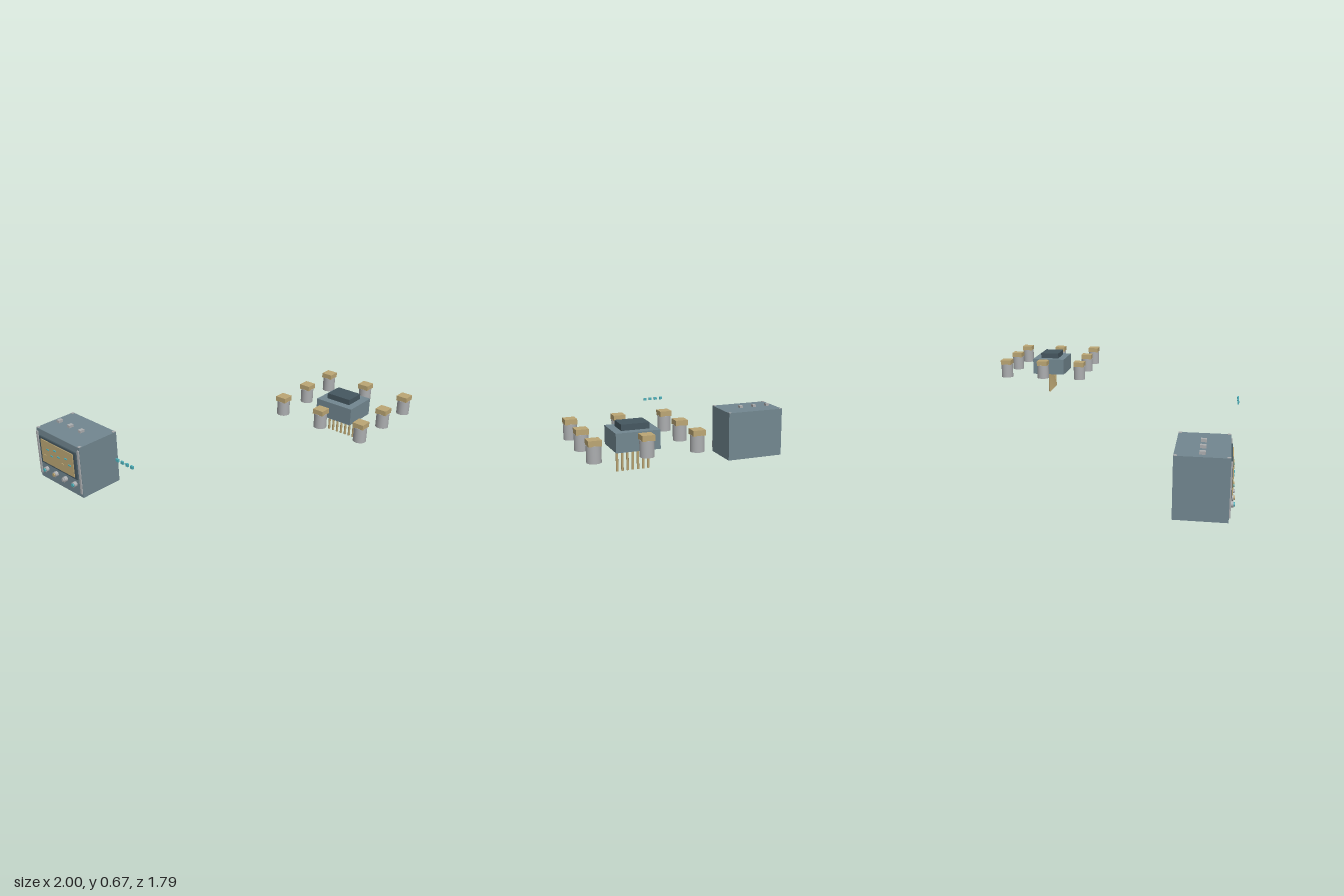
import * as THREE from 'three';

const mat = (name, color) => {
  const m = new THREE.MeshStandardMaterial({ color });
  m.name = name;
  return m;
};

export function createModel() {
  const slate = mat('slate', 0x728790);
  const dark = mat('dark slate', 0x455760);
  const amber = mat('amber', 0xbba674);
  const silver = mat('silver', 0xacaeb0);
  const cyan = mat('cyan', 0x4fb0ba);

  const model = new THREE.Group();
  model.name = 'instrumentKit';
  const group = (name) => {
    const g = new THREE.Group();
    g.name = name;
    model.add(g);
    return g;
  };
  const add = (parent, name, geometry, material, x, y, z) => {
    const mesh = new THREE.Mesh(geometry, material);
    mesh.name = name;
    mesh.position.set(x, y, z);
    parent.add(mesh);
    return mesh;
  };
  const box = (parent, name, material, w, h, d, x, y, z) =>
    add(parent, name, new THREE.BoxGeometry(w, h, d), material, x, y, z);

  // Console case
  const unit = group('console');
  const cx = -0.76;
  box(unit, 'case', slate, 0.48, 0.394, 0.33, cx, 0.197, 0.68);
  for (const side of [-1, 1]) {
    box(unit, 'frontTrim', silver, 0.016, 0.34, 0.01, cx + side * 0.229, 0.2, 0.849);
    for (const z of [0.527, 0.833]) {
      box(unit, 'cornerCap', silver, 0.02, 0.006, 0.022, cx + side * 0.229, 0.394, z);
    }
  }
  for (let i = 0; i < 3; i++) {
    box(unit, 'topSwitch', silver, 0.028, 0.022, 0.037, -0.942 + i * 0.121, 0.402, 0.68);
  }

  // Screen with scattered trace marks
  box(unit, 'screenFrame', dark, 0.404, 0.212, 0.018, cx, 0.24, 0.848);
  box(unit, 'screen', amber, 0.358, 0.18, 0.009, cx, 0.24, 0.859);
  for (let i = 0; i < 8; i++) {
    const y = 0.213 + ((i * 3) % 5) * 0.0188;
    box(unit, 'traceMark', i % 5 ? cyan : amber, 0.025, 0.008, 0.007, -0.9 + i * 0.0405, y, 0.866);
  }

  // Front buttons
  [cyan, amber, silver, cyan].forEach((material, i) => {
    const x = -0.917 + i * 0.107;
    const collar = new THREE.CylinderGeometry(0.02, 0.02, 0.026, 16);
    const cap = new THREE.CylinderGeometry(0.013, 0.013, 0.02, 16);
    add(unit, 'buttonCollar', collar, silver, x, 0.086, 0.856).rotation.x = Math.PI / 2;
    add(unit, 'buttonCap', cap, material, x, 0.086, 0.868).rotation.x = Math.PI / 2;
  });

  // Row of loose indicator chips
  const lights = group('indicatorRow');
  for (let i = 0; i < 4; i++) {
    box(lights, 'indicator', cyan, 0.022, 0.02, 0.012, -0.07 + i * 0.045, 0.486, 0.888);
  }

  // Central module with a row of pins
  const core = group('module');
  const mx = 0.641, mz = -0.575;
  box(core, 'moduleBase', slate, 0.276, 0.118, 0.243, mx, 0.571, mz);
  box(core, 'moduleTop', dark, 0.176, 0.038, 0.137, mx, 0.649, mz);
  for (let i = 0; i < 7; i++) {
    add(core, 'pin', new THREE.CylinderGeometry(0.008, 0.008, 0.15, 8), amber, mx + (i - 3) * 0.033, 0.441, mz);
  }

  // Ring of capped posts around the module
  const posts = group('posts');
  for (let i = -1; i <= 1; i++) {
    for (let j = -1; j <= 1; j++) {
      if (i === 0 && j === 0) continue;
      const x = 0.644 + i * 0.31, z = -0.575 + j * 0.281;
      add(posts, 'post', new THREE.CylinderGeometry(0.043, 0.043, 0.1, 20), silver, x, 0.571, z);
      box(posts, 'postCap', amber, 0.077, 0.034, 0.077, x, 0.636, z);
    }
  }
  return model;
}
